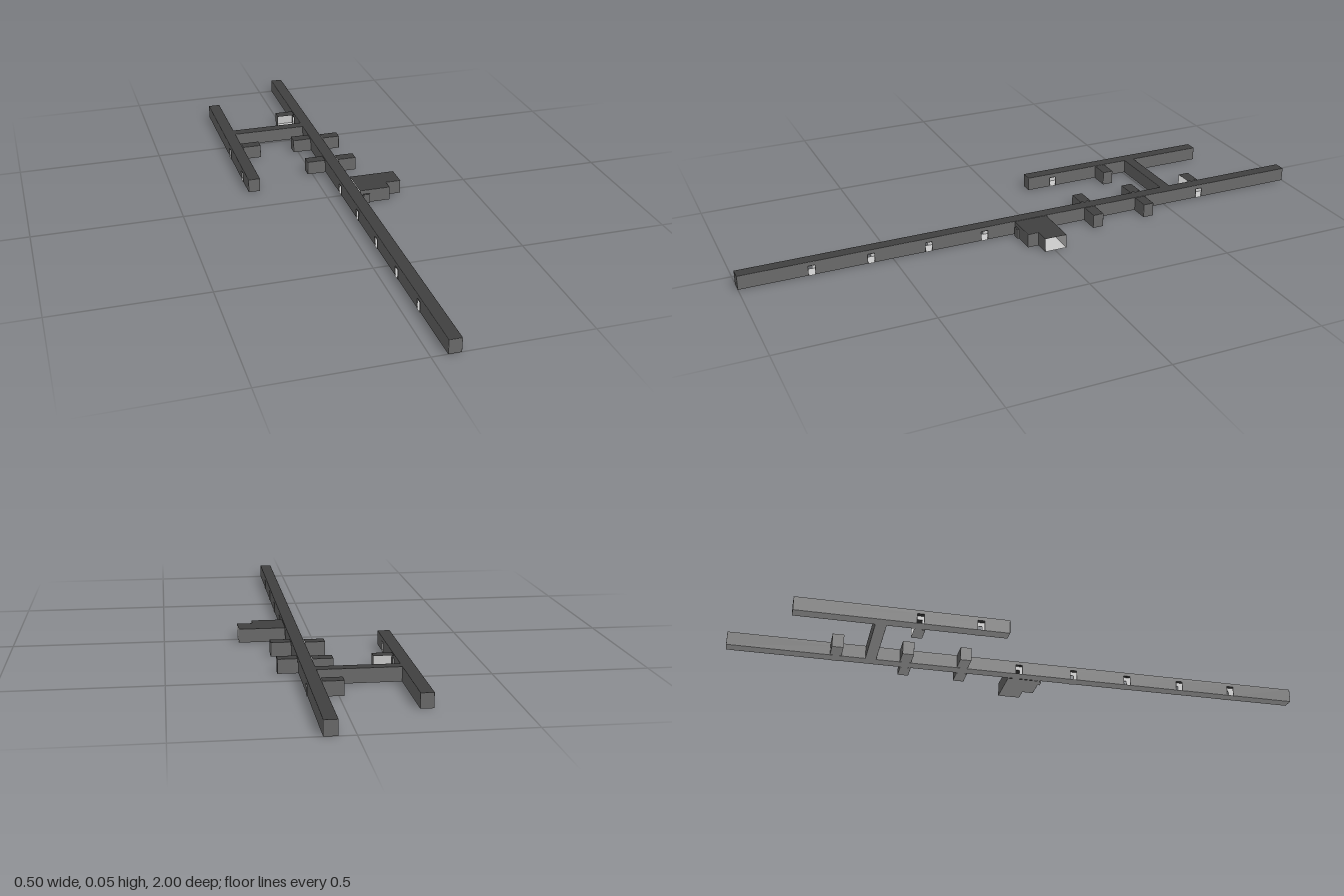
import * as THREE from 'three';
import { mergeGeometries } from 'three/addons/utils/BufferGeometryUtils.js';

const H = 0.0465, DOOR_H = 0.033, DOOR_W = 0.022, FRAME = 0.0025, SKIN = 0.0003;
const paint = color => new THREE.MeshStandardMaterial({ color, side: THREE.DoubleSide });
const inside = paint(0xcccccc), outside = paint(0x6a6a6a), roofing = paint(0x404040);

// Vertical wall from a to b, [x, z] each, with notches { at: [x, z], w, h } cut up from the floor.
// It faces into the room; an outer skin is moved outward a little and faces away.
function wall(a, b, height, doors, outer) {
  const dx = b[0] - a[0], dz = b[1] - a[1], len = Math.hypot(dx, dz);
  const outline = [[0, 0]];
  doors
    .map(d => ({ ...d, s: ((d.at[0] - a[0]) * dx + (d.at[1] - a[1]) * dz) / len }))
    .sort((p, q) => p.s - q.s)
    .forEach(({ s, w, h }) => outline.push([s - w / 2, 0], [s - w / 2, h], [s + w / 2, h], [s + w / 2, 0]));
  outline.push([len, 0], [len, height], [0, height]);
  const geo = new THREE.ShapeGeometry(new THREE.Shape(outline.map(p => new THREE.Vector2(...p))));
  if (outer) {
    geo.translate(0, 0, -SKIN);
    geo.index.array.reverse();
    geo.computeVertexNormals();
  }
  return geo.rotateY(Math.atan2(-dz, dx)).translate(a[0], 0, a[1]);
}

// Thin-walled room over a clockwise plan seen from above: light floor and wall
// linings, dark outer skin and roof.
// edges[i] is 'open' or a list of doors in the wall that starts at corner i.
function room(name, plan, edges = {}, height = H) {
  const flat = sign => new THREE.ShapeGeometry(
    new THREE.Shape(plan.map(([x, z]) => new THREE.Vector2(x, sign * z)))).rotateX(sign * Math.PI / 2);
  const walls = outer => plan.flatMap((a, i) => edges[i] === 'open' ? []
    : [wall(a, plan[(i + 1) % plan.length], height, edges[i] || [], outer)]);
  const group = new THREE.Group();
  group.name = name;
  const add = (part, geo, material) => {
    const mesh = new THREE.Mesh(geo, material);
    mesh.name = part;
    group.add(mesh);
  };
  add('floorAndLining', mergeGeometries([flat(-1), ...walls(false)]), inside);
  add('outerWalls', mergeGeometries(walls(true)), outside);
  // Roof faces up
  add('roof', flat(-1).translate(0, height, 0), roofing);
  return group;
}

// Corner order: back-left, back-right, front-right, front-left of the plan.
// Edges: 0 back (-z), 1 +x side, 2 front (+z), 3 -x side.
const rect = (x0, x1, z0, z1) => [[x0, z0], [x1, z0], [x1, z1], [x0, z1]];

export function createModel() {
  const group = new THREE.Group();
  group.name = 'corridorComplex';
  const add = (...args) => group.add(room(...args));
  const door = (x, z) => ({ at: [x, z], w: DOOR_W, h: DOOR_H });
  const passage = (x, z) => ({ at: [x, z], w: 0.036, h: H - 0.0004 });

  // Corridors, with doors through both long walls
  const mainDoors = [0.767, 0.573, 0.378, 0.182, -0.013, -0.21, -0.406, -0.642];
  const sideDoors = [-0.406, -0.21];
  const crossZ = -0.526;
  const corridors = [
    { name: 'mainCorridor', x0: 0.051, x1: 0.091, z0: -1, z1: 1, doors: mainDoors, crossEdge: 3 },
    { name: 'sideCorridor', x0: -0.25, x1: -0.21, z0: -0.805, z1: -0.115, doors: sideDoors, crossEdge: 1 },
  ];
  for (const { name, x0, x1, z0, z1, doors, crossEdge } of corridors) {
    const edges = { 1: doors.map(z => door(x1, z)), 3: doors.map(z => door(x0, z)) };
    edges[crossEdge].push(passage(crossEdge === 3 ? x0 : x1, crossZ));
    add(name, rect(x0, x1, z0, z1), edges);
    // Short door frames standing out from each wall
    for (const z of doors) {
      for (const [a, b] of [[x0 - FRAME, x0], [x1, x1 + FRAME]]) {
        add('doorFrame', rect(a, b, z - DOOR_W / 2, z + DOOR_W / 2), { 1: 'open', 3: 'open' }, DOOR_H);
      }
    }
  }

  // Link between the two corridors
  add('crossCorridor', rect(-0.21, 0.051, crossZ - 0.018, crossZ + 0.018), { 1: 'open', 3: 'open' });

  // Small rooms beside the doors: plan limits and the open edges
  const smallRooms = [
    [-0.016, 0.0485, -0.662, -0.624, [1, 2]],
    [-0.016, 0.0485, -0.428, -0.39, [1]],
    [-0.016, 0.0485, -0.232, -0.195, [1]],
    [0.0935, 0.156, -0.42, -0.384, [3]],
    [0.0935, 0.159, -0.225, -0.188, [3]],
    [-0.2075, -0.143, -0.42, -0.384, [3, 0]],
  ];
  for (const [x0, x1, z0, z1, open] of smallRooms) {
    add('smallRoom', rect(x0, x1, z0, z1), Object.fromEntries(open.map(i => [i, 'open'])));
  }

  // L-shaped room, open toward the corridor and at its outer end
  add('largeRoom',
    [[0.0935, -0.042], [0.251, -0.042], [0.251, 0.034], [0.199, 0.034], [0.199, 0.072], [0.0935, 0.072]],
    { 1: 'open', 4: [door(0.116, 0.072)], 5: 'open' });
  add('largeRoomDoor', rect(0.105, 0.127, 0.072, 0.079), { 0: 'open' }, DOOR_H);

  return group;
}
